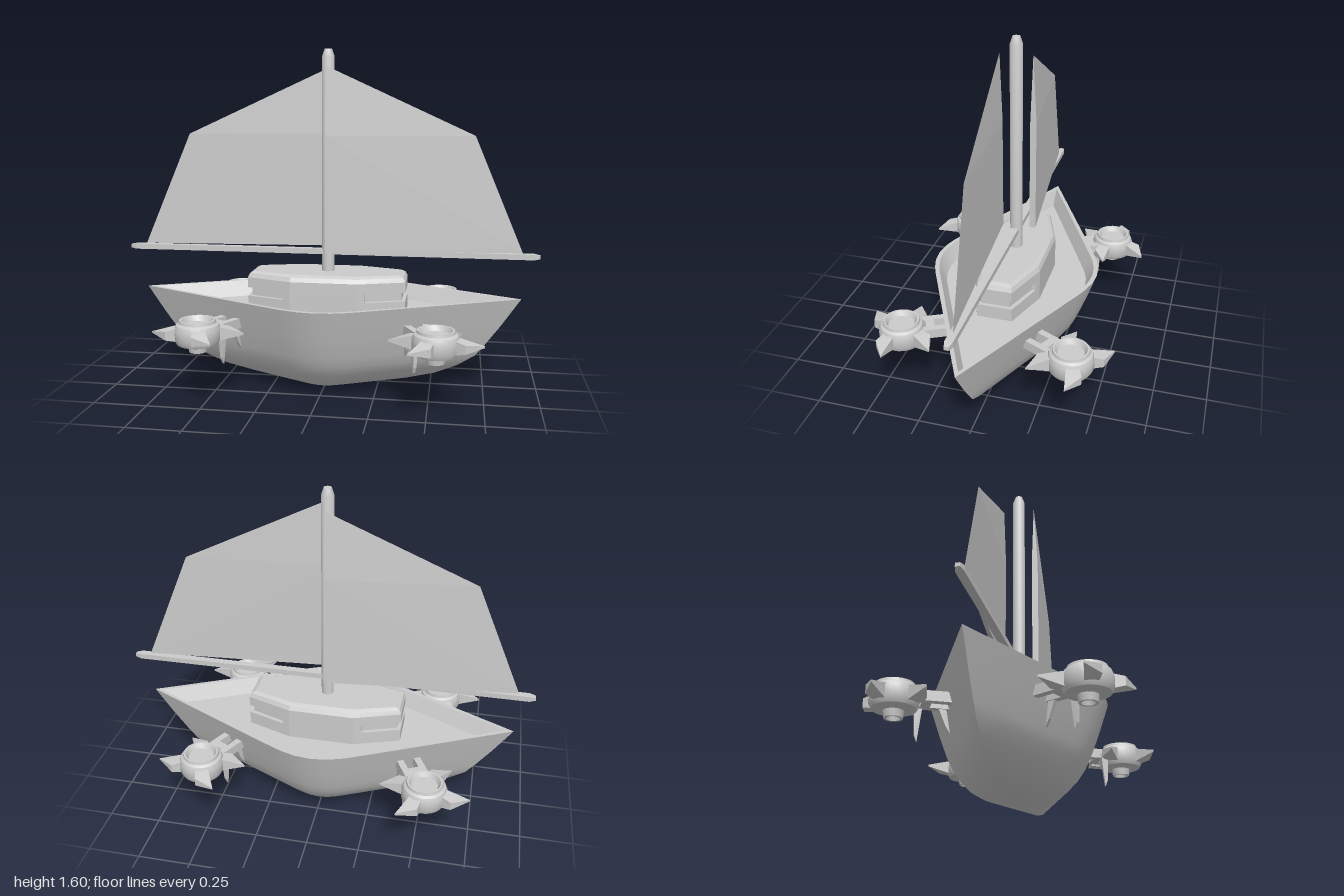
import * as THREE from 'three';
import { toCreasedNormals } from 'three/addons/utils/BufferGeometryUtils.js';
import { ConvexGeometry } from 'three/addons/geometries/ConvexGeometry.js';

const grey = new THREE.MeshStandardMaterial({ color: 0xcccccc, side: THREE.DoubleSide });

function add(parent, name, geometry) {
  const mesh = new THREE.Mesh(geometry, grey);
  mesh.name = name;
  parent.add(mesh);
  return mesh;
}

// Skin between closed rings of [x, y, z] points, capped at both ends
function loft(rings, crease) {
  const n = rings[0].length, pos = rings.flat(2), idx = [];
  for (let j = 0; j < rings.length - 1; j++) {
    for (let i = 0; i < n; i++) {
      const a = j * n + i, b = j * n + (i + 1) % n;
      idx.push(a, a + n, b, b, a + n, b + n);
    }
  }
  const first = rings[0], last = rings[rings.length - 1], base = (rings.length - 1) * n;
  const c = rings.length * n;
  pos.push(0, first[0][1], 0, 0, last[0][1], 0);
  for (let i = 0; i < n; i++) {
    const k = (i + 1) % n;
    idx.push(c, i, k, c + 1, base + k, base + i);
  }
  const g = new THREE.BufferGeometry();
  g.setAttribute('position', new THREE.Float32BufferAttribute(pos, 3));
  g.setIndex(idx);
  return toCreasedNormals(g, crease);
}

// Repeat a quarter outline (from +x axis to +z side) around all four quadrants
function ring(quarter, y, L, W) {
  const half = [...quarter, ...quarter.slice().reverse().filter(p => p[0] > 0).map(p => [-p[0], p[1]])];
  const back = half.slice().reverse().filter(p => p[1] > 0).map(p => [p[0], -p[1]]);
  return [...half, ...back].map(p => [p[0] * L, y, p[1] * W]);
}

const lathe = (pts, seg, crease = 0.6) =>
  toCreasedNormals(new THREE.LatheGeometry(pts.map(p => new THREE.Vector2(...p)), seg), crease);

const hullOf = pts => new ConvexGeometry(pts.map(p => new THREE.Vector3(...p)));

// One engine: local +z points away from the hull, local x runs along it
function engine(m) {
  const g = new THREE.Group();
  add(g, 'engineBody', lathe([[0, -0.055], [0.07, -0.055], [0.094, -0.047], [0.105, -0.025], [0.105, 0.022],
    [0.097, 0.042], [0.085, 0.05], [0.082, 0.063], [0.073, 0.063], [0.06, 0.04], [0, 0.04]], 24));
  add(g, 'engineNozzle', lathe([[0, -0.055], [0.025, -0.055], [0.03, -0.086], [0.04, -0.086], [0.045, -0.05]], 16));
  // Four swept fins
  for (const sx of [-1, 1]) for (const sz of [-1, 1]) {
    const pts = [];
    for (const [t, n, h] of [[0.045, 0.08, 0.032], [0.08, 0.123, 0.02], [0.18, 0.108, 0.004], [0.09, 0.045, 0.032]]) {
      pts.push([t * sx, h, n * sz], [t * sx, -h, n * sz]);
    }
    add(g, 'engineFin', hullOf(pts));
  }
  // Forked mounting arm
  for (const s of [-1, 1]) {
    const arm = add(g, 'mountingArm', new THREE.BoxGeometry(0.032, 0.045, 0.2));
    arm.position.set(s * 0.042, 0.005, -0.17);
  }
  const bridge = add(g, 'armBridge', new THREE.BoxGeometry(0.1, 0.045, 0.04));
  bridge.position.set(0, 0.005, -0.13);
  // Hanging spike beside the engine and a slanted brace against the hull
  const spike = (name, x, z, bottom, lean) => {
    const pts = [];
    for (const sx of [-1, 1]) {
      pts.push([x + sx * 0.011, 0, z + 0.018], [x + sx * 0.011, 0, z - 0.018]);
      pts.push([x + sx * 0.008, bottom + 0.03, z + lean * 0.8 + 0.012], [x + sx * 0.006, bottom, z + lean]);
    }
    add(g, name, hullOf(pts));
  };
  spike('hangingSpike', -0.056 * m, -0.105, -0.16, 0);
  spike('hullBrace', -0.042 * m, -0.2, -0.12, -0.04);
  return g;
}

export function createModel() {
  const model = new THREE.Group();
  model.name = 'sailingAirship';

  // Hull: outer skin, rim, inner wall and deck in one loft
  const diamond = [[1, 0], [0.8, 0.222], [0.6, 0.443], [0.4, 0.664], [0.21, 0.873], [0.15, 0.932], [0.08, 0.98], [0, 1]];
  const levels = [[0, 0.16, 0.08], [0.006, 0.26, 0.12], [0.022, 0.38, 0.17], [0.055, 0.52, 0.225], [0.1, 0.63, 0.268],
    [0.15, 0.71, 0.302], [0.2, 0.752, 0.326], [0.3, 0.827, 0.364], [0.435, 0.92, 0.41],
    [0.435, 0.88, 0.388], [0.36, 0.805, 0.352]];
  add(model, 'hull', loft(levels.map(([y, L, W]) => ring(diamond, y, L, W)), 0.55));

  // Cabin: octagonal base, recessed window band, bevelled roof
  const oct = [[0.38, 0.085], [0.16, 0.162]];
  const octInset = d => [[0.38 - d, 0.085 - d * 0.5], [0.16 - d * 0.4, 0.162 - d]];
  const slot = [[0.362, 0.07], [0.195, 0.13], [0.195, 0.15], [0.16, 0.162]];
  add(model, 'cabinBase', loft([ring(oct, 0.35, 1, 1), ring(oct, 0.425, 1, 1)], 0.3));
  add(model, 'cabinWindowBand', loft([ring(slot, 0.42, 1, 1), ring(slot, 0.47, 1, 1)], 0.3));
  add(model, 'cabinRoof', loft([ring(oct, 0.466, 1, 1), ring(oct, 0.515, 1, 1), ring(octInset(0.01), 0.535, 1, 1),
    ring(octInset(0.03), 0.545, 1, 1)], 0.3));

  // Mast with tapered cap
  add(model, 'mast', lathe([[0, 0.36], [0.03, 0.36], [0.03, 1.565], [0.018, 1.6], [0, 1.6]], 16));

  // Boom with tapered ends
  const boomPts = [];
  for (const [x, h, w] of [[0.97, 0.013, 0.018], [1, 0.008, 0.01]]) {
    for (const sx of [-1, 1]) for (const sy of [-1, 1]) for (const sz of [-1, 1]) {
      boomPts.push([sx * x, 0.639 + sy * h, sz * w]);
    }
  }
  add(model, 'boom', hullOf(boomPts));

  // Two wedge sails, thick at the mast and thin at the outer edge
  for (const s of [1, -1]) {
    add(model, s > 0 ? 'leftSail' : 'rightSail', hullOf([[0, 0.655, 0.096], [0, 1.2, 0.096], [0, 0.655, 0.066], [0, 1.2, 0.066],
      [0, 1.52, 0.078], [0.69, 1.2, 0.018], [0.92, 0.655, 0]].map(([x, y, z]) => [x * s, y, z * s])));
  }

  // Four engines around the hull
  for (const sx of [1, -1]) for (const sz of [1, -1]) {
    const e = engine(sx * sz);
    e.name = (sz > 0 ? 'front' : 'back') + (sx > 0 ? 'Left' : 'Right') + 'Engine';
    e.position.set(0.535 * sx, 0.32, 0.4 * sz);
    e.rotation.y = Math.atan2(0.45 * sx, 0.9 * sz);
    model.add(e);
  }
  return model;
}
